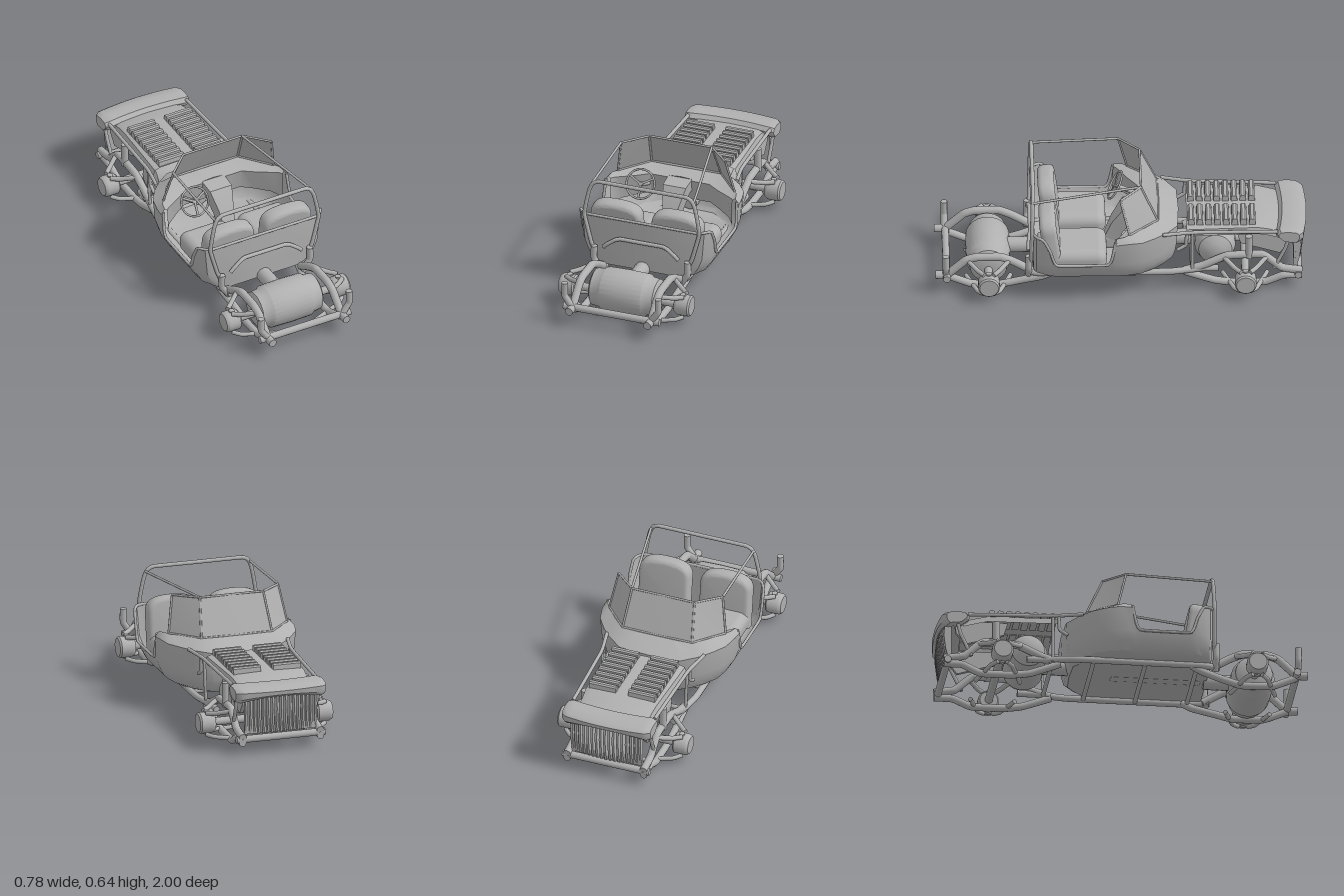
import * as THREE from 'three';
import { toCreasedNormals } from 'three/addons/utils/BufferGeometryUtils.js';
import { RoundedBoxGeometry } from 'three/addons/geometries/RoundedBoxGeometry.js';

export function createModel() {
  const model = new THREE.Group();
  const grey = new THREE.MeshStandardMaterial({ color: 0xb0b0b0, side: THREE.DoubleSide });
  grey.name = 'plain grey';

  const add = (name, geo, x = 0, y = 0, z = 0) => {
    const mesh = new THREE.Mesh(geo, grey);
    mesh.name = name;
    mesh.position.set(x, y, z);
    model.add(mesh);
    return mesh;
  };
  // Bent bar through points, with capped ends
  const tube = (name, pts, r = 0.01) => {
    const v = pts.map(p => new THREE.Vector3(...p));
    const curve = v.length === 2 ? new THREE.LineCurve3(...v) : new THREE.CatmullRomCurve3(v, false, 'catmullrom', 0.15);
    add(name, new THREE.TubeGeometry(curve, v.length === 2 ? 1 : v.length * 6, r, 12));
    for (const t of [0, 1]) {
      const p = curve.getPoint(t);
      const cap = add(name + 'Cap', new THREE.CircleGeometry(r, 12), p.x, p.y, p.z);
      cap.lookAt(p.clone().addScaledVector(curve.getTangent(t), t ? 1 : -1));
    }
  };
  // The same bar on both sides
  const tubes = (name, pts, r) => {
    for (const s of [1, -1]) tube((s > 0 ? 'left' : 'right') + name, pts.map(([x, y, z]) => [x * s, y, z]), r);
  };
  // Surface through rows of points
  const grid = (name, rows, crease = 0.6) => {
    const n = rows[0].length, index = [];
    for (let i = 0; i < rows.length - 1; i++) for (let j = 0; j < n - 1; j++) {
      const a = i * n + j, b = a + n;
      index.push(a, b, a + 1, a + 1, b, b + 1);
    }
    const geo = new THREE.BufferGeometry();
    geo.setAttribute('position', new THREE.Float32BufferAttribute(rows.flat(2), 3));
    geo.setIndex(index);
    return add(name, toCreasedNormals(geo, crease));
  };
  const mirrorRow = half => [...half, ...half.slice(0, -1).reverse().map(([x, y, z]) => [-x, y, z])];
  const flatShape = pts => new THREE.Shape(pts.map(p => new THREE.Vector2(...p)));
  // Drum along x from (radius, x) pairs
  const drum = (name, profile, x, y, z) => {
    const geo = new THREE.LatheGeometry(profile.map(p => new THREE.Vector2(...p)), 28);
    geo.rotateZ(-Math.PI / 2);
    return add(name, toCreasedNormals(geo, 0.6), x, y, z);
  };

  // Tub: plan outline (x, z) with wall height, dipping at the doors
  const outline = [[0, 0.475, 0.415], [0.31, 0.475, 0.415], [0.35, 0.46, 0.415], [0.375, 0.42, 0.41],
    [0.38, 0.385, 0.35], [0.382, 0.36, 0.26], [0.385, 0.33, 0.25], [0.385, 0.09, 0.25], [0.385, 0.06, 0.27],
    [0.387, 0.035, 0.38], [0.382, -0.03, 0.385], [0.362, -0.11, 0.38], [0.315, -0.18, 0.378], [0.26, -0.24, 0.372], [0.175, -0.302, 0.365], [0, -0.31, 0.362]];
  // Each level narrows towards the floor, most of all at the rear corners
  const levels = [[0.13, 0], [0.13, 0.76], [0.15, 0.86], [0.2, 0.93], [0.25, 0.97], [1, 1]];
  grid('tub', levels.map(([y, s]) => mirrorRow(outline.map(([x, z, top]) => {
    const narrow = z > 0.41 ? s - (1 - s) * 0.35 * s : s;
    const sill = top < 0.3 && s === 1 ? 0.98 : narrow;
    return [x * sill, Math.min(y, top), z < 0 ? z * (0.4 + 0.6 * Math.max(s, 0.75)) : z];
  }))));
  // Cowl, dashboard top and dashboard face
  const cowl = [outline.slice(9).map(([x, z, y]) => [x, y, z]),
    [[0.365, 0.41, 0.03], [0.355, 0.415, -0.015], [0.335, 0.415, -0.04], [0.27, 0.42, -0.13], [0.2, 0.42, -0.2], [0.1, 0.42, -0.205], [0, 0.42, -0.205]],
    [[0.35, 0.4, 0.035], [0.34, 0.4, 0.02], [0.31, 0.4, 0], [0.24, 0.4, -0.04], [0.17, 0.4, -0.09], [0.1, 0.4, -0.09], [0, 0.4, -0.09]],
    [[0.35, 0.25, 0.04], [0.34, 0.25, 0.02], [0.31, 0.26, -0.02], [0.24, 0.27, -0.07], [0.17, 0.28, -0.11], [0.1, 0.28, -0.11], [0, 0.28, -0.11]]];
  grid('cowlAndDash', cowl.map(mirrorRow));
  // Console tapering down to the tunnel
  grid('console', [[0, 0.41, -0.1], [0.068, 0.405, -0.1], [0.066, 0.395, -0.01], [0.045, 0.3, 0.05], [0.032, 0.2, 0.09]]
    .map(([x, y, z]) => [[x, y - 0.06, z - 0.06], [x, y, z], [-x, y, z], [-x, y - 0.06, z - 0.06]]));
  add('tunnel', new RoundedBoxGeometry(0.07, 0.08, 0.5, 2, 0.02), 0, 0.165, 0.2);
  // Rim around the tub opening
  tubes('TubRim', [[0, 0.418, 0.478], [0.31, 0.418, 0.478], [0.35, 0.418, 0.46], [0.375, 0.41, 0.42],
    [0.381, 0.34, 0.385], [0.38, 0.252, 0.35], [0.38, 0.252, 0.08], [0.382, 0.29, 0.055], [0.375, 0.395, 0.035]], 0.008);

  // Windscreen with two angled side panes and a thin frame
  const base = [[0.335, 0.415, -0.04], [0.2, 0.42, -0.195], [0, 0.42, -0.2]];
  const top = [[0.3, 0.615, 0.008], [0.18, 0.622, -0.105], [0, 0.622, -0.11]];
  grid('windscreen', [mirrorRow(base), mirrorRow(top)], 0.5);
  for (const row of [base, top]) {
    tube('windscreenCross', [row[1], [-row[1][0], row[1][1], row[1][2]]], 0.006);
    tubes('WindscreenEdge', [row[0], row[1]], 0.006);
  }
  for (const i of [0, 1]) tubes('WindscreenPost', [base[i], top[i]], 0.006);

  // Roll hoop, roof rails (joined to different screen corners) and rear arch
  tube('rollHoop', mirrorRow([[0.265, 0.2, 0.49], [0.29, 0.26, 0.488], [0.33, 0.415, 0.484], [0.318, 0.5, 0.482],
    [0.303, 0.57, 0.48], [0.285, 0.608, 0.478], [0.25, 0.625, 0.476], [0, 0.625, 0.476]]), 0.011);
  tube('leftRoofRail', [[0.295, 0.6, 0.475], top[1]], 0.007);
  tube('rightRoofRail', [[-0.295, 0.6, 0.475], [-top[0][0], top[0][1], top[0][2]]], 0.007);
  tube('rearArch', mirrorRow([[0.215, 0.245, 0.5], [0.195, 0.265, 0.5], [0.15, 0.297, 0.495], [0.12, 0.305, 0.49], [0, 0.305, 0.49]]), 0.011);

  // Seats with arched backs
  const back = new THREE.Shape();
  back.moveTo(-0.12, 0);
  back.lineTo(0.12, 0);
  back.lineTo(0.12, 0.2);
  back.bezierCurveTo(0.12, 0.245, 0.075, 0.256, 0, 0.256);
  back.bezierCurveTo(-0.075, 0.256, -0.12, 0.245, -0.12, 0.2);
  const backGeo = toCreasedNormals(new THREE.ExtrudeGeometry(back,
    { depth: 0.03, bevelSize: 0.025, bevelThickness: 0.03, bevelSegments: 5, curveSegments: 10 }), 0.7);
  for (const s of [1, -1]) {
    add('seatCushion', new RoundedBoxGeometry(0.29, 0.12, 0.34, 5, 0.05), s * 0.175, 0.225, 0.25);
    add('seatBack', backGeo, s * 0.175, 0.205, 0.35).rotation.x = 0.14;
  }
  // Steering wheel
  const wheel = new THREE.Group();
  wheel.name = 'steeringWheel';
  const ring = new THREE.Mesh(new THREE.TorusGeometry(0.08, 0.006, 8, 32), grey);
  ring.name = 'wheelRim';
  wheel.add(ring);
  for (let i = 0; i < 3; i++) {
    const spoke = new THREE.Mesh(new THREE.BoxGeometry(0.012, 0.08, 0.006), grey);
    const a = i * Math.PI * 2 / 3;
    spoke.name = 'wheelSpoke';
    spoke.position.set(Math.sin(a) * 0.04, -Math.cos(a) * 0.04, 0);
    spoke.rotation.z = a;
    wheel.add(spoke);
  }
  wheel.position.set(-0.18, 0.395, 0.027);
  wheel.rotation.x = -0.5;
  model.add(wheel);
  tube('steeringColumn', [[-0.18, 0.395, 0.027], [-0.18, 0.34, -0.09]], 0.012);

  // Ladder frame: main rails, cross members, split arches at each axle
  tubes('MainRail', [[0.225, 0.12, 0.52], [0.25, 0.12, 0.42], [0.25, 0.12, -0.25], [0.22, 0.12, -0.42], [0.22, 0.12, -0.52]], 0.018);
  for (const z of [0.4, 0.12, -0.16, -0.38]) tube('crossMember', [[-0.24, 0.115, z], [0.24, 0.115, z]], 0.012);
  tubes('RearUpperArch', [[0.225, 0.1, 1], [0.225, 0.1, 0.94], [0.225, 0.19, 0.84], [0.225, 0.21, 0.78], [0.225, 0.21, 0.65], [0.225, 0.18, 0.58], [0.225, 0.12, 0.48]], 0.022);
  tubes('RearLowerArch', [[0.215, 0.09, 0.94], [0.215, 0.035, 0.81], [0.215, 0.03, 0.65], [0.22, 0.055, 0.55], [0.235, 0.09, 0.43], [0.24, 0.12, 0.37]], 0.02);
  tubes('FrontUpperArch', [[0.22, 0.11, -0.34], [0.22, 0.14, -0.44], [0.22, 0.2, -0.57], [0.22, 0.205, -0.76], [0.22, 0.12, -0.86], [0.22, 0.1, -0.97]], 0.021);
  tubes('FrontLowerArch', [[0.22, 0.1, -0.34], [0.215, 0.04, -0.5], [0.215, 0.025, -0.6], [0.215, 0.025, -0.77], [0.22, 0.07, -0.87], [0.22, 0.07, -0.97]], 0.02);
  tube('rearCrossbar', [[-0.275, 0.1, 0.94], [0.275, 0.1, 0.94]], 0.02);
  tube('frontCrossbar', [[-0.25, 0.085, -0.95], [0.25, 0.085, -0.95]], 0.02);
  for (const z of [0.5, 0.945]) tubes('RearPost', [[0.225, 0.1, z], [0.268, 0.165, z], [0.268, 0.243, z]], 0.018);

  // Axles, hubs and wishbones
  for (const [z, end] of [[0.715, 'rear'], [-0.665, 'front']]) {
    tube(end + 'Axle', [[-0.31, 0.105, z], [0.31, 0.105, z]], 0.022);
    for (const s of [1, -1]) drum(end + 'Hub', [[0, -0.045], [0.048, -0.045], [0.058, -0.03], [0.058, 0.035], [0.05, 0.044], [0, 0.044]], s * 0.331, 0.105, z);
    for (const d of [1, -1]) {
      tubes('UpperArm', [[0.335, 0.165, z + d * 0.025], [0.295, 0.17, z + d * 0.06], [0.22, 0.195, z + d * 0.12]], 0.013);
      tubes('LowerArm', [[0.335, 0.045, z + d * 0.025], [0.295, 0.038, z + d * 0.06], [0.12, 0.025, z + d * 0.12]], 0.012);
    }
    tubes('Upright', [[0.325, 0.04, z], [0.325, 0.17, z]], 0.016);
  }
  tubes('Damper', [[0.225, 0.19, -0.685], [0.225, 0.325, -0.685]], 0.02);

  // Drive units and shafts
  drum('rearDriveUnit', [[0, -0.192], [0.08, -0.192], [0.1, -0.18], [0.106, -0.135], [0.118, -0.118], [0.121, 0],
    [0.118, 0.118], [0.106, 0.135], [0.1, 0.18], [0.08, 0.192], [0, 0.192]], 0, 0.122, 0.715);
  drum('frontDriveUnit', [[0, -0.19], [0.05, -0.185], [0.09, -0.16], [0.11, -0.11], [0.11, 0.11], [0.09, 0.16], [0.05, 0.185], [0, 0.19]], 0, 0.2, -0.505);
  tube('rearShaft', [[0, 0.14, 0.46], [0, 0.14, 0.62]], 0.042);
  tube('frontShaft', [[0, 0.18, -0.24], [0, 0.18, -0.44]], 0.042);

  // Hood with folded edges and louvres
  const hoodRow = (z, y, w) => mirrorRow([[w + 0.01, y - 0.045, z], [w, y - 0.01, z], [w - 0.03, y, z], [0, y + 0.004, z]]);
  grid('hood', [hoodRow(-0.35, 0.378, 0.22), hoodRow(-0.73, 0.378, 0.205), hoodRow(-0.79, 0.365, 0.2), hoodRow(-0.86, 0.345, 0.2)], 0.3);
  const louvre = flatShape([[0, 0], [0.036, 0], [0.034, 0.03], [0.026, 0.037], [0.01, 0.037], [0.002, 0.03]]);
  const louvreGeo = new THREE.ExtrudeGeometry(louvre, { depth: 0.155, bevelEnabled: false });
  for (let i = 0; i < 8; i++) for (const x of [0.035, -0.19]) {
    add('louvre', louvreGeo, x, 0.376, -0.357 - i * 0.047).rotation.y = Math.PI / 2;
  }
  tubes('HoodRail', [[0.28, 0.375, -0.22], [0.25, 0.37, -0.38], [0.235, 0.36, -0.84]], 0.01);
  tubes('HoodStrut', [[0.245, 0.365, -0.38], [0.235, 0.13, -0.38]], 0.009);
  tubes('HoodBrace', [[0.25, 0.365, -0.35], [0.25, 0.29, -0.345], [0.25, 0.26, -0.3]], 0.01);
  tubes('NoseStrut', [[0.235, 0.33, -0.9], [0.23, 0.25, -0.88], [0.225, 0.12, -0.82]], 0.01);
  // Engine side plates
  const plate = flatShape([[0.62, 0.335], [0.91, 0.335], [0.9, 0.265], [0.85, 0.2], [0.64, 0.265]]);
  for (const s of [1, -1]) {
    add('enginePlate', new THREE.ExtrudeGeometry(plate, { depth: 0.02, bevelEnabled: false }), s * 0.19 - 0.01).rotation.y = Math.PI / 2;
  }

  // Bowed nose with rounded lobes at the ends and a shallower middle
  const noseRows = [];
  for (let i = 0; i <= 20; i++) {
    const u = i / 10 - 1, lobe = u * u, end = Math.abs(u) === 1 ? 0.75 : 1;
    const section = [[-0.825, 0.35], [-0.845, 0.372], [-0.9, 0.376], [-0.955, 0.368], [-0.975, 0.352],
      [-0.972, 0.33 - 0.02 * lobe], [-0.95, 0.315 - 0.03 * lobe], [-0.87, 0.315 - 0.02 * lobe], [-0.83, 0.33], [-0.825, 0.35]];
    noseRows.push(section.map(([z, y]) => [u * 0.255, 0.34 + (y - 0.34) * end, -0.9 + (z + 0.9) * end - 0.022 * (1 - lobe)]));
  }
  const noseEnd = s => noseRows[0].map(() => [s * 0.255, 0.34, -0.9]);
  grid('nose', [noseEnd(-1), ...noseRows, noseEnd(1)], 0.7);

  // Grille of bowed vertical slats over a backing
  for (let i = 0; i < 17; i++) {
    const x = (i - 8) * 0.0245, bow = 0.02 * (1 - (x / 0.2) ** 2);
    const slat = flatShape([[0.945, 0.32], [0.96 + bow, 0.32], [0.966 + bow, 0.25], [0.956 + bow, 0.17], [0.94 + bow, 0.11], [0.93, 0.11]]);
    add('grilleSlat', new THREE.ExtrudeGeometry(slat, { depth: 0.012, bevelEnabled: false }), x - 0.006).rotation.y = Math.PI / 2;
  }
  add('grilleBacking', new THREE.BoxGeometry(0.4, 0.2, 0.02), 0, 0.21, -0.935);
  return model;
}
